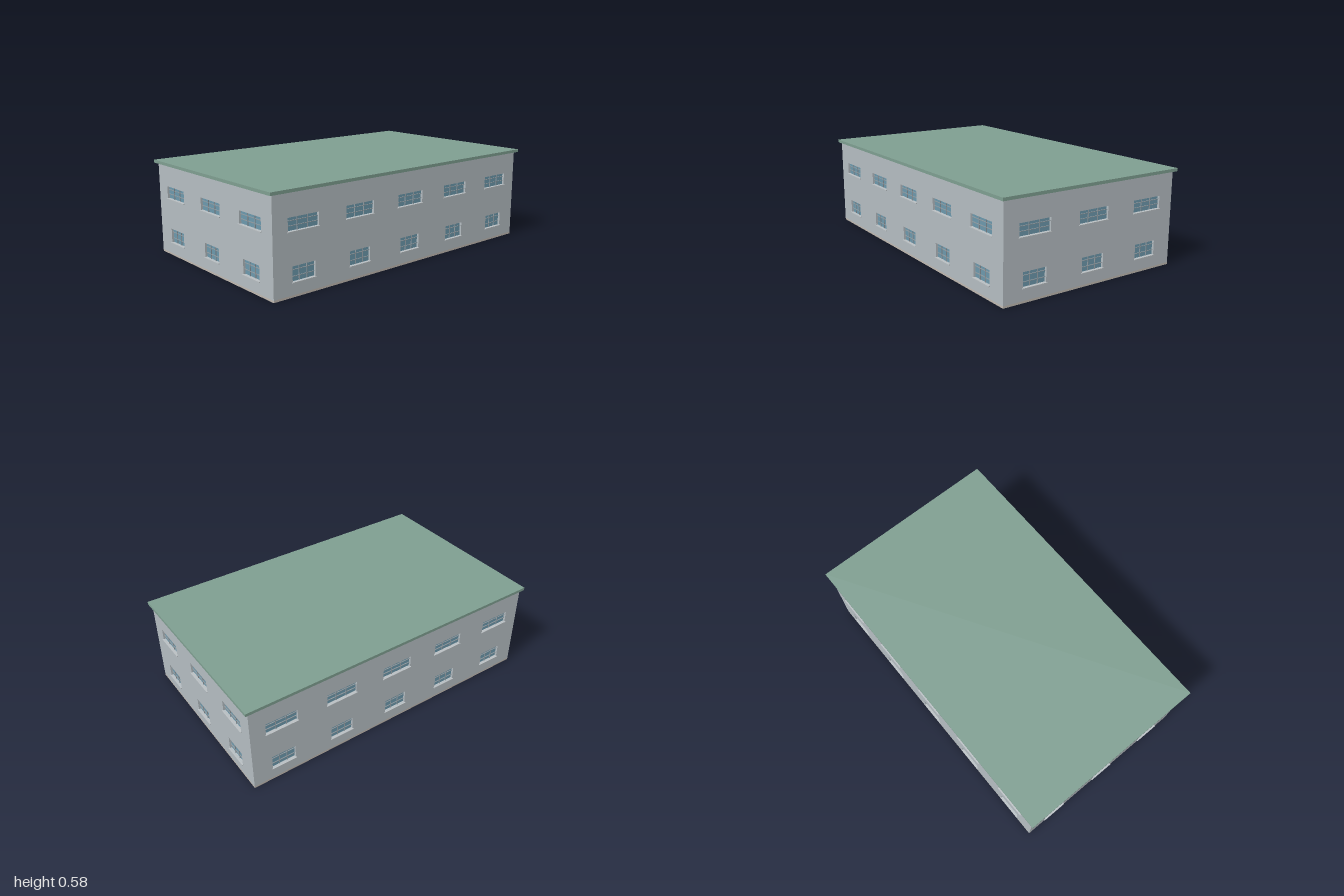
import * as THREE from 'three';

const W = 1.96, D = 1.18, BASE = 0.012, TOP = 0.56, T = 0.03;
const mat = (color) => new THREE.MeshStandardMaterial({ color });
const wallMat = mat(0xb4bcc1), roofMat = mat(0x7e9e90), glassMat = mat(0x6c98ac);
const barMat = mat(0x8d989e), sillMat = mat(0xb9bfc2), slabMat = mat(0xbfb8b0);

// Window rows: width, bottom, top and heights of the horizontal bars
const ROWS = [
  { w: 0.15, y0: 0.083, y1: 0.168, bars: [0.11, 0.146] },
  { w: 0.2, y0: 0.355, y1: 0.428, bars: [0.381, 0.408] },
];

function box(name, material, w, h, d, x, y, z) {
  const mesh = new THREE.Mesh(new THREE.BoxGeometry(w, h, d), material);
  mesh.name = name;
  mesh.position.set(x, y, z);
  return mesh;
}

// Window set back in the wall; the wall's outer face lies at z = 0
function makeWindow(row, x) {
  const g = new THREE.Group();
  g.name = 'window';
  g.position.x = x;
  const h = row.y1 - row.y0, cy = (row.y0 + row.y1) / 2;
  g.add(box('glass', glassMat, row.w, h, 0.006, 0, cy, -0.016));
  for (const s of [-1, 1]) {
    g.add(box('verticalBar', barMat, 0.003, h, 0.006, s * row.w / 6, cy, -0.011));
  }
  for (const y of row.bars) {
    g.add(box('horizontalBar', barMat, row.w, 0.003, 0.006, 0, y, -0.0105));
  }
  g.add(box('sill', sillMat, row.w + 0.008, 0.005, 0.022, 0, row.y0 - 0.0025, -0.004));
  return g;
}

// Wall panel with window openings, outer face at z = 0
function makeWall(name, width, count, spacing) {
  const g = new THREE.Group();
  g.name = name;
  const rect = (path, x0, y0, x1, y1) =>
    path.moveTo(x0, y0).lineTo(x1, y0).lineTo(x1, y1).lineTo(x0, y1).lineTo(x0, y0);
  const shape = rect(new THREE.Shape(), -width / 2, BASE, width / 2, TOP);
  for (const row of ROWS) {
    for (let i = 0; i < count; i++) {
      const x = (i - (count - 1) / 2) * spacing;
      shape.holes.push(rect(new THREE.Path(), x - row.w / 2, row.y0, x + row.w / 2, row.y1));
      g.add(makeWindow(row, x));
    }
  }
  const geo = new THREE.ExtrudeGeometry(shape, { depth: T, bevelEnabled: false });
  geo.translate(0, 0, -T);
  const panel = new THREE.Mesh(geo, wallMat);
  panel.name = 'wallPanel';
  g.add(panel);
  return g;
}

export function createModel() {
  const building = new THREE.Group();
  building.name = 'building';

  // Floor slab and overhanging flat roof
  building.add(box('floorSlab', slabMat, W, BASE, D, 0, BASE / 2, 0));
  building.add(box('roof', roofMat, 2, 0.018, 1.215, 0, TOP + 0.009, 0));

  // Four walls: long ones at front and back, short ones between them
  const sides = ['frontWall', 'leftWall', 'backWall', 'rightWall'];
  sides.forEach((name, i) => {
    const long = i % 2 === 0;
    const wall = long ? makeWall(name, W, 5, 0.392) : makeWall(name, D - 2 * T, 3, 0.393);
    const angle = i * Math.PI / 2, r = (long ? D : W) / 2;
    wall.rotation.y = angle;
    wall.position.set(Math.sin(angle) * r, 0, Math.cos(angle) * r);
    building.add(wall);
  });
  return building;
}
